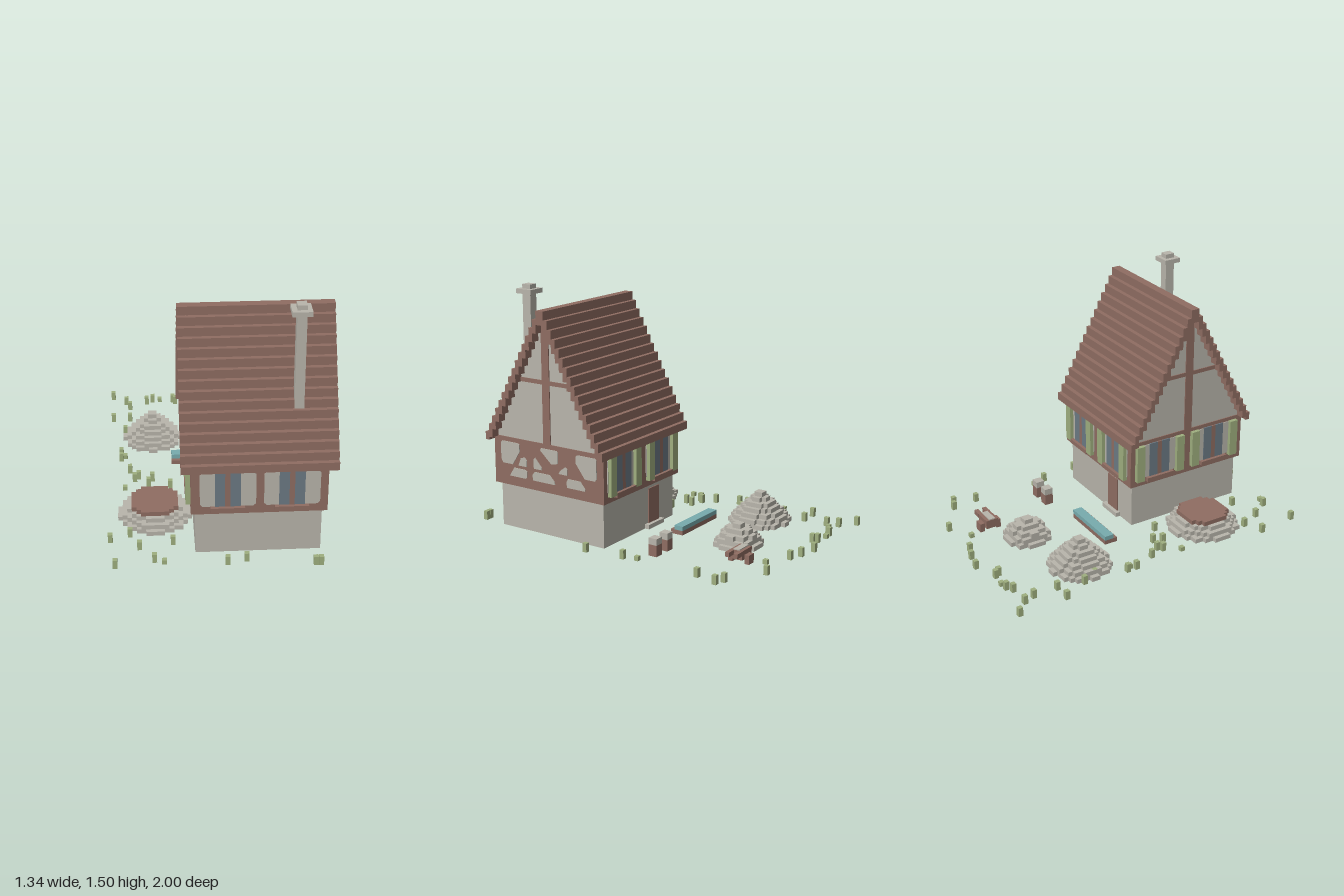
import * as THREE from 'three';

const mat = (name, color) => Object.assign(new THREE.MeshStandardMaterial({ color }), { name });
const V = 0.0276; // block size used throughout

export function createModel() {
  const root = new THREE.Group();
  root.name = 'halfTimberedHouse';
  const stone = mat('stone', 0xb8b5ab);
  const timber = mat('timber', 0x8f6d62);
  const leaf = mat('leafGreen', 0x9faf7f);
  const glass = mat('windowBlue', 0x6c7a84);
  const water = mat('waterTeal', 0x78acae);

  const group = (name, parent = root) => {
    const g = new THREE.Group();
    g.name = name;
    parent.add(g);
    return g;
  };
  const add = (name, geo, m, parent = root) => {
    const mesh = new THREE.Mesh(geo, m);
    mesh.name = name;
    parent.add(mesh);
    return mesh;
  };
  // Box given by its minimum and maximum on each axis
  const box = (name, m, x0, x1, y0, y1, z0, z1, parent = root) => {
    const mesh = add(name, new THREE.BoxGeometry(x1 - x0, y1 - y0, z1 - z0), m, parent);
    mesh.position.set((x0 + x1) / 2, (y0 + y1) / 2, (z0 + z1) / 2);
    return mesh;
  };
  const shapeOf = pts => new THREE.Shape(pts.map(p => new THREE.Vector2(p[0], p[1])));
  const extrude = (shape, depth) => new THREE.ExtrudeGeometry(shape, { depth, bevelEnabled: false });
  const plate = (name, m, pts, parent, depth = 0.005) => add(name, extrude(shapeOf(pts), depth), m, parent);
  // Rectangle with cut corners
  const cutRect = (u0, u1, y0, y1, c) => [
    [u0 + c, y0], [u1 - c, y0], [u1, y0 + c], [u1, y1 - c],
    [u1 - c, y1], [u0 + c, y1], [u0, y1 - c], [u0, y0 + c]];

  // Hollow stone ground floor, open underneath
  const foot = shapeOf([[-0.17, -0.837], [0.552, -0.837], [0.552, -0.06], [-0.17, -0.06]]);
  foot.holes.push(new THREE.Path([[-0.16, -0.827], [-0.16, -0.07], [0.542, -0.07], [0.542, -0.827]]
    .map(p => new THREE.Vector2(p[0], p[1]))));
  add('groundFloorWalls', extrude(foot, 0.28).rotateX(-Math.PI / 2), stone);
  box('groundFloorCeiling', stone, -0.165, 0.547, 0.272, 0.279, 0.065, 0.832);
  box('upperFloor', timber, -0.195, 0.58, 0.28, 0.56, 0.035, 0.863);

  // Gabled attic
  const attic = extrude(shapeOf([[-0.863, 0.56], [-0.035, 0.56], [-0.035, 0.585],
    [-0.435, 1.35], [-0.463, 1.35], [-0.863, 0.585]]), 0.775).rotateY(Math.PI / 2);
  add('attic', attic, stone).position.x = -0.195;

  // Stepped shingle roof
  const roof = group('roof');
  const mid = 0.449;
  for (let i = 0; i < 16; i++) {
    const top = 0.61 + 0.052 * i, bottom = Math.max(0.56, top - 0.083);
    const far = 0.885 - V * i, near = 0.003 + V * i;
    box('shingleRow', timber, -0.25, 0.635, bottom, top, far - V, far, roof);
    box('shingleRow', timber, -0.25, 0.635, bottom, top, near, near + V, roof);
  }
  box('ridge', timber, -0.25, 0.635, 1.32, 1.39, 0.42, 0.47, roof);

  // Chimney
  const chimney = group('chimney');
  box('shaft', stone, 0.39, 0.445, 0.85, 1.475, 0.665, 0.725, chimney);
  box('cap', stone, 0.36, 0.472, 1.445, 1.473, 0.64, 0.752, chimney);
  box('pot', stone, 0.39, 0.445, 1.473, 1.5, 0.665, 0.725, chimney);

  // Facades: local x runs along the wall, local z points outward
  const facade = (name, x, z, turn) => {
    const g = group(name);
    g.position.set(x, 0, z);
    g.rotation.y = turn;
    return g;
  };
  const front = facade('frontFacade', 0, 0.863, 0);
  const back = facade('backFacade', 0, 0.035, Math.PI);
  const left = facade('leftFacade', 0.58, 0, Math.PI / 2);
  const right = facade('rightFacade', -0.195, 0, -Math.PI / 2);

  const windowOn = (wall, u, shutterAt) => {
    const g = group('window', wall);
    g.position.x = u;
    plate('plaster', stone, cutRect(-0.157, 0.16, 0.333, 0.553, 0.015), g);
    box('mullion', timber, -0.015, 0.015, 0.333, 0.556, 0, 0.008, g);
    for (const s of [-1, 1]) {
      const a = Math.min(s * 0.015, s * 0.073), b = Math.max(s * 0.015, s * 0.073);
      box('pane', glass, a, b, 0.333, 0.556, 0, 0.008, g);
      if (shutterAt) box('shutter', leaf, s * shutterAt - V, s * shutterAt + V, 0.32, 0.558, 0, V, g);
    }
    box('sill', timber, -0.097, 0.097, 0.306, 0.333, 0, V, g);
  };
  for (const u of [0.013, 0.375]) windowOn(front, u, 0);
  for (const u of [0, -0.39]) windowOn(back, u, 0.125);
  for (const u of [0.24, 0.645]) windowOn(right, u, 0.145);

  // Plaster fields between the braces on the left wall
  const fields = [
    [[-0.81, 0.44], [-0.795, 0.415], [-0.72, 0.415], [-0.665, 0.5], [-0.665, 0.545], [-0.68, 0.553], [-0.8, 0.553], [-0.81, 0.54]],
    [[-0.675, 0.415], [-0.61, 0.415], [-0.61, 0.455], [-0.625, 0.472], [-0.655, 0.465]],
    [[-0.555, 0.415], [-0.495, 0.415], [-0.495, 0.43], [-0.545, 0.485], [-0.555, 0.475]],
    [[-0.505, 0.54], [-0.42, 0.465], [-0.37, 0.475], [-0.37, 0.545], [-0.38, 0.553], [-0.495, 0.553]],
    [[-0.365, 0.415], [-0.3, 0.415], [-0.3, 0.455], [-0.315, 0.465], [-0.355, 0.435]],
    [[-0.235, 0.5], [-0.17, 0.415], [-0.095, 0.415], [-0.085, 0.43], [-0.085, 0.545], [-0.095, 0.553], [-0.225, 0.553], [-0.235, 0.545]],
    [[-0.745, 0.34], [-0.62, 0.34], [-0.61, 0.35], [-0.61, 0.385], [-0.625, 0.395], [-0.71, 0.395]],
    [[-0.565, 0.34], [-0.395, 0.34], [-0.4, 0.36], [-0.435, 0.395], [-0.55, 0.395], [-0.565, 0.375]],
    [[-0.305, 0.34], [-0.17, 0.34], [-0.17, 0.355], [-0.205, 0.395], [-0.295, 0.395], [-0.305, 0.38]]];
  for (const f of fields) plate('plasterField', stone, f, left);

  // Gable timbers on both ends
  for (const [wall, s] of [[left, -1], [right, 1]]) {
    const c = s * mid;
    box('gablePost', timber, c - 0.027, c + 0.027, 0.56, 1.34, 0, 0.006, wall);
    box('gableRail', timber, c - 0.215, c + 0.215, 0.945, 0.97, 0, 0.006, wall);
    box('gableSill', timber, c - 0.41, c + 0.41, 0.56, 0.583, 0, 0.006, wall);
  }

  // Back door and its step
  box('door', timber, -0.01, 0.1, V, 0.25, 0.053, 0.061);
  box('doorStep', stone, -0.035, 0.13, 0, V, 0.03, 0.06);

  // Blocky disc outline on the block grid
  const discPts = r => {
    const n = Math.round(r / V), side = [];
    for (let j = -n; j < n; j++) {
      const h = Math.max(1, Math.round(Math.sqrt(Math.max(0, r * r - ((j + 0.5) * V) ** 2)) / V)) * V;
      side.push([h, j * V], [h, (j + 1) * V]);
    }
    return side.concat(side.slice().reverse().map(p => [-p[0], p[1]]));
  };
  // Hollow stack of blocky rings
  const mound = (name, x, z, radii, lastMat) => {
    const g = group(name);
    g.position.set(x, 0, z);
    radii.forEach((r, i) => {
      const s = shapeOf(discPts(r)), last = i === radii.length - 1;
      const inner = last ? 0 : radii[i + 1] - V;
      if (inner > V) s.holes.push(new THREE.Path(discPts(inner).reverse().map(p => new THREE.Vector2(p[0], p[1]))));
      add('layer', extrude(s, V).rotateX(-Math.PI / 2), last ? lastMat : stone, g).position.y = i * V;
    });
  };
  mound('largeRockPile', -0.395, -0.45, [0.18, 0.165, 0.14, 0.11, 0.083, 0.055, 0.028], stone);
  mound('smallRockPile', 0.05, -0.56, [0.14, 0.124, 0.1, 0.07, 0.04], stone);
  mound('plantingBed', -0.395, 0.44, [0.215, 0.193, 0.165, 0.145], timber);

  // Trough behind the house
  box('troughBase', timber, -0.28, 0.105, 0, V, -0.2, -0.115);
  box('troughWater', water, -0.28, 0.105, V, 2 * V, -0.2, -0.14);

  // Two barrels
  for (const x of [0.357, 0.468]) {
    box('barrel', timber, x - V, x + V, 0, 0.07, -0.276, -0.221);
    box('barrelTop', stone, x - V, x + V, 0.07, 0.11, -0.276, -0.221);
  }

  // Wheelbarrow
  const cart = group('wheelbarrow');
  box('tray', timber, 0.22, 0.327, V, 3 * V, -0.75, -0.672, cart);
  box('load', stone, 0.222, 0.325, 3 * V, 3 * V + 0.006, -0.73, -0.69, cart);
  for (const z of [-0.765, -0.655]) box('wheel', timber, 0.247, 0.302, 0, 2 * V, z - 0.015, z + 0.015, cart);
  for (const z of [-0.739, -0.684]) box('handle', timber, 0.327, 0.385, 2 * V, 3 * V, z - 0.013, z + 0.013, cart);

  // Grass tufts, as x, z pairs
  const tufts = [
    -0.66, -0.99, -0.57, -0.91, -0.545, -0.84, -0.655, -0.685, -0.43, -0.91, -0.39, -0.935, -0.34, -0.94,
    -0.25, -0.93, -0.235, -0.905, -0.1, -0.985, 0.01, -0.96, 0.09, -0.93, 0.37, -0.935, 0.23, -0.85,
    0.595, -0.795, 0.65, -0.77, 0.615, -0.63, -0.575, -0.52, -0.545, -0.435, -0.6, -0.24, -0.575, -0.21,
    -0.6, -0.18, -0.545, -0.035, -0.49, 0.04, -0.515, 0.065, -0.405, 0.065, -0.43, 0.12, -0.575, 0.16,
    -0.295, 0.15, -0.66, 0.705, -0.545, 0.655, -0.49, 0.785, -0.63, 0.955, -0.405, 0.91, -0.35, 0.93,
    -0.295, 0.745, 0.01, 0.955, 0.12, 0.93, 0.51, 0.985, 0.54, 0.985, 0.65, 0.12, 0.595, -0.21,
    0.62, -0.125, -0.545, -0.685];
  const grass = group('grass');
  for (let i = 0; i < tufts.length; i += 2) {
    const [x, z] = [tufts[i], tufts[i + 1]];
    const h = i % 14 === 12 ? V : 2 * V;
    box('tuft', leaf, x - V / 2, x + V / 2, 0, h, z - V / 2, z + V / 2, grass);
  }
  return root;
}
